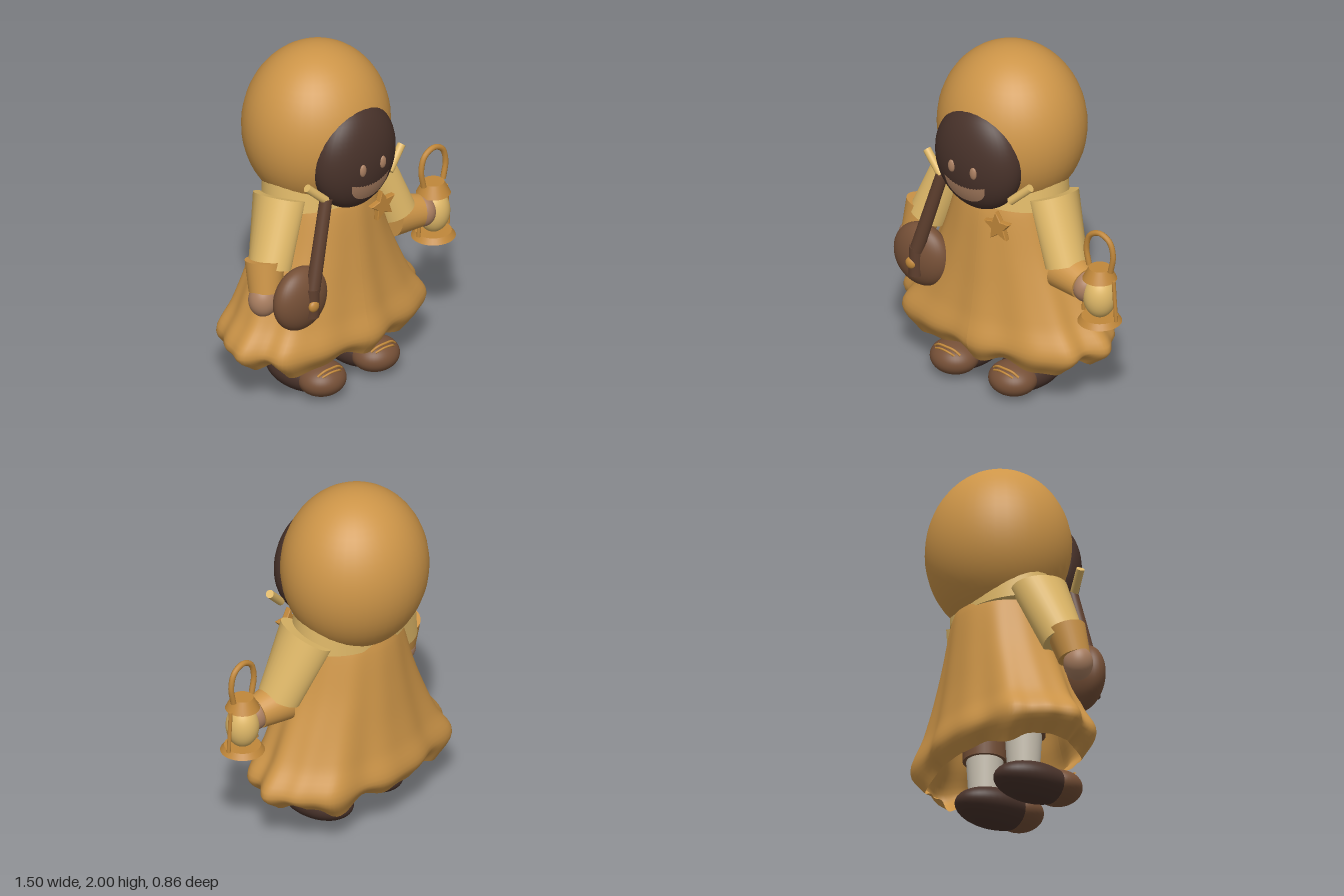
import * as THREE from 'three';

const mat = (name, color) => Object.assign(new THREE.MeshStandardMaterial({ color }), { name });
const V = (x, y, z) => new THREE.Vector3(x, y, z);
const CX = -0.093; // body axis

export function createModel() {
  const root = new THREE.Group();
  root.name = 'hoodedTraveller';
  const ochre = mat('ochre cloth', 0xcd9548);
  ochre.side = THREE.DoubleSide;
  const straw = mat('straw cloth', 0xdfb868);
  const dark = mat('dark brown', 0x48322a);
  const brown = mat('leather brown', 0x765037);
  const strapBrown = mat('strap brown', 0x5e3f2e);
  const skin = mat('skin', 0xaa7f61);
  const sock = mat('sock grey', 0xcdc5b5);
  const metal = mat('lantern metal', 0xc0873a);

  const add = (name, geo, material, parent = root) => {
    const m = new THREE.Mesh(geo, material);
    m.name = name;
    parent.add(m);
    return m;
  };
  const ball = (name, material, p, r, parent = root) => {
    const m = add(name, new THREE.SphereGeometry(1, 40, 28), material, parent);
    m.position.set(...p);
    m.scale.set(...r);
    return m;
  };
  // Tapered rod from a to b; da and db widen its two ends in depth
  const rod = (name, material, a, b, ra, rb = ra, parent = root, da = 1, db = 1) => {
    const A = V(...a), B = V(...b), d = B.clone().sub(A), len = d.length();
    const geo = new THREE.CylinderGeometry(rb, ra, len, 32);
    const p = geo.attributes.position;
    for (let i = 0; i < p.count; i++)
      p.setZ(i, p.getZ(i) * THREE.MathUtils.lerp(da, db, p.getY(i) / len + 0.5));
    const m = add(name, geo, material, parent);
    m.position.copy(A).add(B).multiplyScalar(0.5);
    m.quaternion.setFromUnitVectors(V(0, 1, 0), d.normalize());
    return m;
  };
  const wire = (name, material, pts, r, parent = root) =>
    add(name, new THREE.TubeGeometry(new THREE.CatmullRomCurve3(pts.map(p => V(...p))), 32, r, 10), material, parent);

  // Hood and face
  ball('hood', ochre, [CX, 1.53, -0.035], [0.417, 0.47, 0.395]);
  ball('face', dark, [CX, 1.45, 0.262], [0.275, 0.31, 0.16]);
  const faceZ = (dx, y) => 0.262 + 0.16 * Math.sqrt(1 - (dx / 0.275) ** 2 - ((y - 1.45) / 0.31) ** 2);
  for (const s of [-1, 1])
    ball('eye', skin, [CX + s * 0.073, 1.437, faceZ(0.073, 1.437)], [0.022, 0.037, 0.013]);

  // Smile, a thin patch following the face, with a notched upper edge
  const smile = new THREE.PlaneGeometry(2, 1, 28, 6);
  const sp = smile.attributes.position;
  for (let i = 0; i < sp.count; i++) {
    const u = sp.getX(i), t = sp.getY(i) + 0.5;
    const notch = (i % 29) % 2 ? 0.01 * (1 - u * u) : 0;
    const top = 1.333 + 0.022 * u * u - notch;
    const bottom = 1.355 - 0.124 * Math.pow(Math.max(0, 1 - Math.abs(u) ** 2.2), 1 / 2.1);
    const x = u * 0.137, y = bottom + (top - bottom) * t;
    sp.setXYZ(i, CX + x, y, faceZ(x, y) + 0.005);
  }
  smile.computeVertexNormals();
  add('smile', smile, skin);

  // Collar and the two scarf ends
  const collar = add('collar', new THREE.CylinderGeometry(0.355, 0.37, 0.15, 64), straw);
  collar.position.set(CX, 1.215, 0);
  collar.scale.z = 0.72;
  collar.rotation.x = -0.06;
  for (const s of [-1, 1])
    rod('scarfEnd', straw, [CX + s * 0.235, 1.265, 0.295], [CX + s * 0.35, 1.375, 0.268], 0.023);

  // Cape: rings of [y, half width, half depth, fold depth], flaring to a wavy hem
  const rings = [[1.19, 0.28, 0.255, 0], [1.1, 0.308, 0.275, 0.008], [0.86, 0.385, 0.3, 0.015],
    [0.66, 0.472, 0.32, 0.022], [0.5, 0.55, 0.343, 0.032], [0.34, 0.647, 0.372, 0.045], [0.235, 0.53, 0.312, 0.052]];
  const profile = new THREE.CatmullRomCurve3(rings.map(r => V(r[0], r[1], r[2])));
  const cape = new THREE.CylinderGeometry(1, 1, 1, 144, 30, true);
  const cp = cape.attributes.position;
  for (let i = 0; i < cp.count; i++) {
    const t = 0.5 - cp.getY(i);
    const q = profile.getPoint(t);
    const k = Math.min(t * 6, 5.9999), n = Math.floor(k);
    const fold = rings[n][3] + (rings[n + 1][3] - rings[n][3]) * (k - n);
    const sx = cp.getX(i), sz = cp.getZ(i), a = Math.atan2(sz, sx);
    const wave = Math.cos(8 * a + 0.4) * 0.75 + Math.sin(13 * a + 1) * 0.45;
    const e = 2 + 0.32 * t; // rounder at the neck, squarer at the hem
    const r = Math.pow(Math.abs(sx) ** e + Math.abs(sz) ** e, -1 / e) * (1 + fold * wave);
    const drop = Math.max(0, t - 0.8) / 0.2;
    cp.setXYZ(i, CX + 0.008 + sx * r * q.y, q.x - drop * (0.024 * wave - 0.014 * Math.cos(4 * a)), sz * r * q.z);
  }
  cape.computeVertexNormals();
  add('cape', cape, ochre);

  // Star brooch
  const star = new THREE.Shape();
  for (let i = 0; i < 10; i++) {
    const a = Math.PI / 2 + i * Math.PI / 5, r = i % 2 ? 0.04 : 0.086;
    star[i ? 'lineTo' : 'moveTo'](Math.cos(a) * r, Math.sin(a) * r);
  }
  star.closePath();
  const brooch = add('starBrooch', new THREE.ExtrudeGeometry(star,
    { depth: 0.025, bevelEnabled: true, bevelSize: 0.004, bevelThickness: 0.005, bevelSegments: 1 }), metal);
  brooch.position.set(0.072, 1.09, 0.298);
  brooch.rotation.z = 0.12;

  // Sleeves, cuffs and hands
  for (const s of [-1, 1])
    rod('sleeve', straw, [CX + s * 0.463, 0.852, 0.092], [CX + s * 0.326, 1.212, 0.02], 0.112, 0.102, root, 1.1, 1.72);
  rod('leftCuff', ochre, [0.35, 0.825, 0.09], [0.515, 0.8, 0.125], 0.12, 0.092);
  ball('leftHand', skin, [0.535, 0.795, 0.13], [0.075, 0.09, 0.085]);
  rod('rightCuff', ochre, [-0.615, 0.74, 0.12], [-0.585, 0.91, 0.085], 0.09, 0.11);
  ball('rightHand', skin, [-0.64, 0.7, 0.13], [0.082, 0.097, 0.08]);

  // Lantern
  const lantern = new THREE.Group();
  lantern.name = 'lantern';
  lantern.position.set(0.622, 0, 0.13);
  root.add(lantern);
  rod('lanternBase', metal, [0, 0.61, 0], [0, 0.642, 0], 0.122, 0.1, lantern);
  ball('lanternGlass', straw, [0, 0.765, 0], [0.092, 0.127, 0.092], lantern);
  rod('lanternCap', metal, [0, 0.875, 0], [0, 0.943, 0], 0.095, 0.06, lantern);
  for (const s of [-1, 1])
    rod('lanternPost', metal, [s * 0.11, 0.64, 0], [s * 0.094, 0.885, 0], 0.011, 0.011, lantern);
  wire('lanternHandle', metal, [[-0.072, 0.935, 0], [-0.09, 1.04, 0], [-0.065, 1.122, 0], [0, 1.153, 0],
    [0.065, 1.122, 0], [0.09, 1.04, 0], [0.072, 0.935, 0]], 0.016, lantern);

  // Shoulder bag with strap and button
  ball('bag', brown, [-0.483, 0.7, 0.255], [0.18, 0.187, 0.098]);
  rod('bagStrap', strapBrown, [-0.462, 0.77, 0.335], [-0.323, 1.27, 0.29], 0.039, 0.035);
  rod('bagTab', strapBrown, [-0.468, 0.615, 0.335], [-0.466, 0.79, 0.335], 0.039);
  ball('bagButton', metal, [-0.48, 0.692, 0.362], [0.034, 0.034, 0.022]);

  // Legs and shoes
  for (const x of [-0.29, 0.105]) {
    const leg = new THREE.Group();
    leg.name = x < 0 ? 'rightLeg' : 'leftLeg';
    leg.position.x = x;
    root.add(leg);
    rod('trouser', brown, [0, 0.37, 0], [0, 0.85, 0], 0.12, 0.13, leg);
    rod('sock', sock, [0, 0.1, 0], [0, 0.38, 0], 0.085, 0.102, leg);
    ball('shoe', dark, [0, 0.108, 0.06], [0.152, 0.104, 0.235], leg);
    ball('toeCap', brown, [0, 0.113, 0.222], [0.138, 0.093, 0.13], leg);
    wire('lace', metal, [[-0.085, 0.175, 0.28], [-0.05, 0.2, 0.295], [0, 0.204, 0.3],
      [0.05, 0.196, 0.295], [0.085, 0.17, 0.285]], 0.007, leg);
    wire('laceLoop', metal, [[-0.07, 0.172, 0.3], [-0.02, 0.19, 0.315], [0.035, 0.186, 0.318], [0.06, 0.168, 0.305]], 0.006, leg);
  }
  return root;
}
